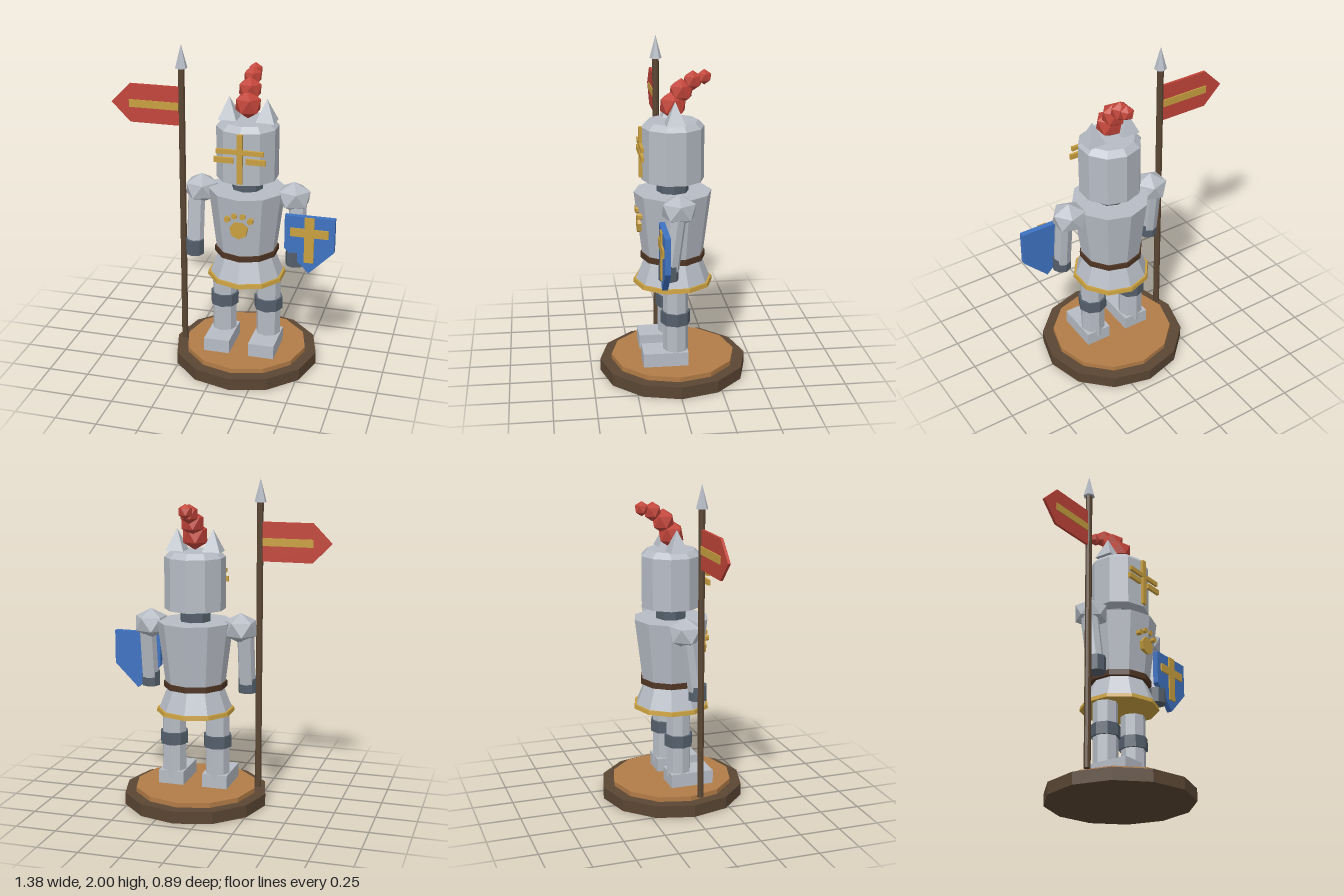
import * as THREE from 'three';

const paint = (name, color) => {
  const m = new THREE.MeshStandardMaterial({ color, flatShading: true });
  m.name = name;
  return m;
};

export function createModel() {
  const steel = paint('steel', 0xb7bcc5);
  const slate = paint('slate', 0x55606c);
  const gold = paint('gold', 0xc9a040);
  const wood = paint('dark wood', 0x5a4633);
  const leather = paint('leather', 0x4f3524);
  const earth = paint('earth', 0xb27c47);
  const red = paint('red', 0xc2453a);
  const blue = paint('blue', 0x3f73c2);

  const root = new THREE.Group();
  root.name = 'knightFigure';
  const knight = new THREE.Group();
  knight.name = 'knight';
  knight.position.x = 0.13;
  root.add(knight);

  const add = (parent, name, geo, mat, x = 0, y = 0, z = 0) => {
    const mesh = new THREE.Mesh(geo, mat);
    mesh.name = name;
    mesh.position.set(x, y, z);
    parent.add(mesh);
    return mesh;
  };
  // Upright prism or frustum between two heights
  const drum = (parent, name, mat, rTop, rBottom, y0, y1, sides, x = 0, z = 0) =>
    add(parent, name, new THREE.CylinderGeometry(rTop, rBottom, y1 - y0, sides), mat, x, (y0 + y1) / 2, z);
  // Box from its minimum and maximum corners
  const block = (parent, name, mat, [x0, y0, z0], [x1, y1, z1]) =>
    add(parent, name, new THREE.BoxGeometry(x1 - x0, y1 - y0, z1 - z0), mat,
      (x0 + x1) / 2, (y0 + y1) / 2, (z0 + z1) / 2);
  // Flat outline given a thickness
  const plate = (parent, name, mat, pts, z, depth) => {
    const shape = new THREE.Shape(pts.map(([x, y]) => new THREE.Vector2(x, y)));
    return add(parent, name, new THREE.ExtrudeGeometry(shape, { depth, bevelEnabled: false }), mat, 0, 0, z);
  };
  // Icosahedron standing on a corner
  const gem = (r, squash = 1) =>
    new THREE.IcosahedronGeometry(r, 0).rotateZ(-Math.atan(2 / (1 + Math.sqrt(5)))).scale(1, squash, 1);

  // Stand
  drum(knight, 'standBase', wood, 0.447, 0.447, 0, 0.075, 12);
  drum(knight, 'standTop', earth, 0.377, 0.377, 0.07, 0.105, 12);

  // Body
  drum(knight, 'skirt', steel, 0.165, 0.23, 0.58, 0.745, 10);
  drum(knight, 'skirtHem', gold, 0.236, 0.24, 0.573, 0.598, 10);
  drum(knight, 'belt', leather, 0.195, 0.195, 0.73, 0.765, 10);
  drum(knight, 'breastplate', steel, 0.232, 0.182, 0.74, 1.14, 10);
  drum(knight, 'neck', slate, 0.095, 0.095, 1.12, 1.22, 8);

  // Helmet with gold visor bars
  drum(knight, 'helmet', steel, 0.186, 0.186, 1.215, 1.53, 10);
  drum(knight, 'helmetCrown', steel, 0.15, 0.186, 1.53, 1.565, 10);
  block(knight, 'visorUpright', gold, [-0.016, 1.23, 0.18], [0.016, 1.53, 0.2]);
  block(knight, 'visorBrow', gold, [-0.142, 1.41, 0.183], [0.142, 1.437, 0.2]);

  // Paw emblem on the chest
  const disc = (r, sides, depth) => new THREE.CylinderGeometry(r, r, depth, sides).rotateX(Math.PI / 2);
  add(knight, 'emblemPad', disc(0.056, 7, 0.03), gold, 0, 0.945, 0.199);

  // Paired parts
  for (const s of [-1, 1]) {
    const side = s < 0 ? 'right' : 'left';
    add(knight, side + 'EmblemOuterToe', disc(0.019, 6, 0.03), gold, s * 0.07, 1.008, 0.204);
    add(knight, side + 'EmblemInnerToe', disc(0.019, 6, 0.03), gold, s * 0.025, 1.035, 0.208);
    block(knight, side + 'VisorBar', gold,
      [s < 0 ? -0.154 : 0.038, 1.355, 0.183], [s < 0 ? -0.038 : 0.154, 1.388, 0.2]);
    const horn = new THREE.ConeGeometry(0.08, 0.135, 4).rotateY(Math.PI / 4);
    add(knight, side + 'Horn', horn, steel, s * 0.113, 1.63, 0);

    // Leg
    drum(knight, side + 'Leg', steel, 0.076, 0.076, 0.15, 0.585, 8, s * 0.14);
    drum(knight, side + 'Knee', slate, 0.089, 0.089, 0.36, 0.435, 8, s * 0.14);
    block(knight, side + 'Foot', steel, [s * 0.14 - 0.08, 0.1, -0.07], [s * 0.14 + 0.08, 0.19, 0.2]);

    // Arm, swung slightly forward
    add(knight, side + 'Shoulder', gem(0.11, 0.85), steel, s * 0.285, 1.108, 0);
    const arm = drum(knight, side + 'Arm', steel, 0.053, 0.053, 0.76, 1.08, 8, s * 0.313, 0.033);
    arm.rotation.x = -0.13;
    drum(knight, side + 'Gauntlet', slate, 0.058, 0.058, 0.7, 0.795, 8, s * 0.313, 0.062);
  }

  // Plume sweeping back: height, depth, radius
  [[1.655, 0, 0.085], [1.735, -0.048, 0.075], [1.795, -0.115, 0.059], [1.815, -0.182, 0.045]]
    .forEach(([y, z, r], i) => add(knight, 'plume' + (i + 1), gem(r), red, 0, y, z));

  // Lance and pennant
  const lance = new THREE.Group();
  lance.name = 'lance';
  root.add(lance);
  drum(lance, 'lancePole', wood, 0.02, 0.02, 0.1, 1.87, 8, -0.256, 0.057);
  add(lance, 'lanceTip', new THREE.ConeGeometry(0.037, 0.14, 6), steel, -0.256, 1.93, 0.057);
  plate(lance, 'pennant', red,
    [[-0.27, 1.51], [-0.27, 1.745], [-0.575, 1.745], [-0.69, 1.627], [-0.575, 1.51]], 0.048, 0.016);
  block(lance, 'pennantStripe', gold, [-0.58, 1.603, 0.041], [-0.275, 1.65, 0.069]);

  // Shield with a cross
  const shield = new THREE.Group();
  shield.name = 'shield';
  root.add(shield);
  plate(shield, 'shieldPlate', blue,
    [[0.385, 1.03], [0.385, 0.82], [0.535, 0.67], [0.685, 0.82], [0.685, 1.03]], 0.077, 0.034);
  block(shield, 'crossUpright', gold, [0.506, 0.742, 0.109], [0.564, 1.029, 0.12]);
  block(shield, 'crossArm', gold, [0.42, 0.905, 0.109], [0.65, 0.957, 0.121]);

  return root;
}
